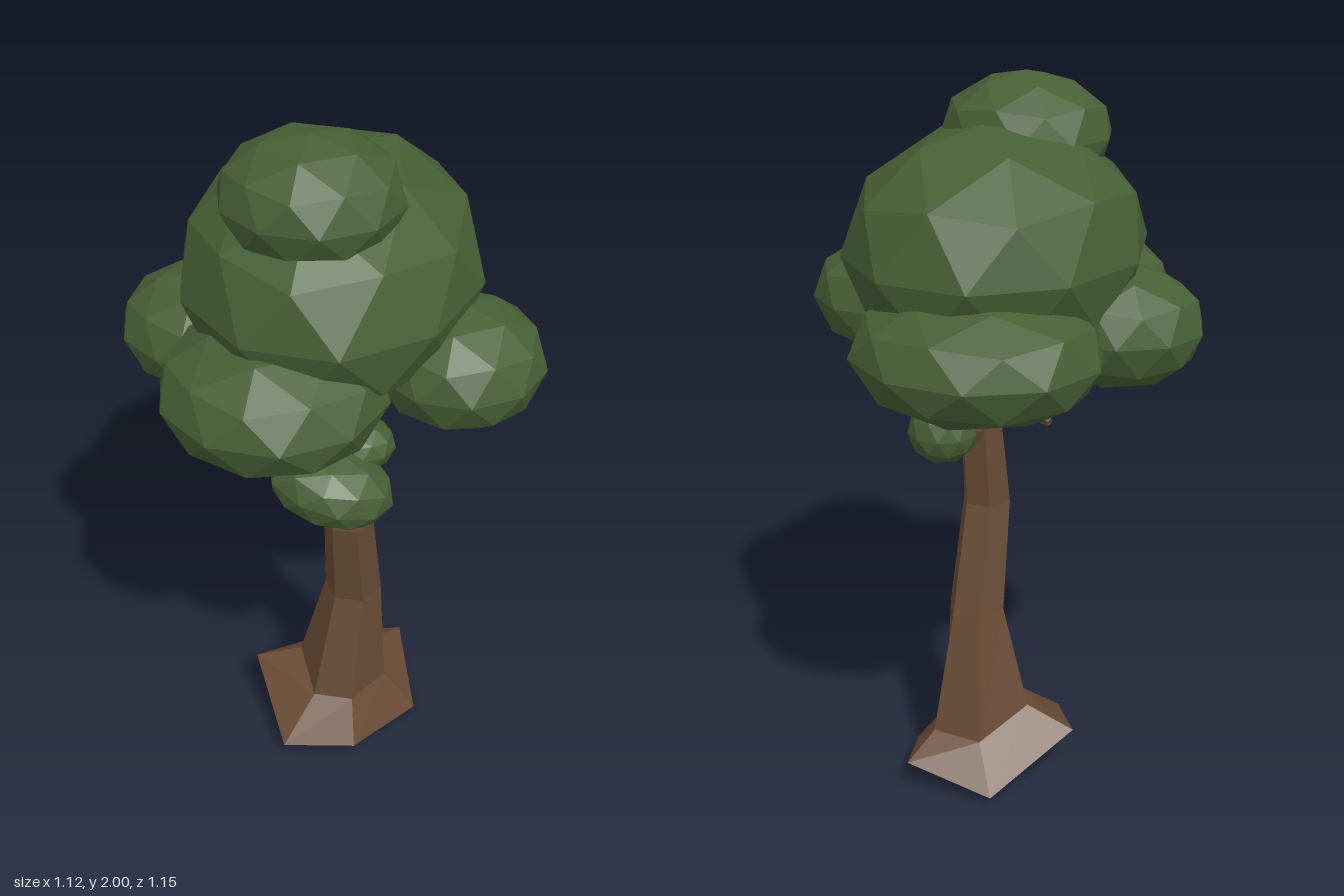
import * as THREE from 'three';

const mat = (name, color) => {
  const m = new THREE.MeshStandardMaterial({ color, flatShading: true });
  m.name = name;
  return m;
};

// Closed skin over rings of equal point count, capped at both ends
function loft(rings) {
  const n = rings[0].length, pos = [], idx = [];
  rings.forEach(r => r.forEach(p => pos.push(...p)));
  for (let i = 0; i < rings.length - 1; i++) {
    for (let k = 0; k < n; k++) {
      const a = i * n + k, b = i * n + (k + 1) % n;
      idx.push(a, a + n, b, b, a + n, b + n);
    }
  }
  const last = (rings.length - 1) * n;
  for (let k = 1; k < n - 1; k++) {
    idx.push(0, k, k + 1);
    idx.push(last, last + k + 1, last + k);
  }
  const g = new THREE.BufferGeometry();
  g.setAttribute('position', new THREE.Float32BufferAttribute(pos, 3));
  g.setIndex(idx);
  const flat = g.toNonIndexed();
  flat.computeVertexNormals();
  return flat;
}

export function createModel() {
  const tree = new THREE.Group();
  tree.name = 'tree';
  const bark = mat('bark brown', 0x694c35);
  const leaf = mat('leaf green', 0x466035);

  const add = (name, geometry, material) => {
    const m = new THREE.Mesh(geometry, material);
    m.name = name;
    tree.add(m);
    return m;
  };

  // Trunk: uneven root skirt, collar, then bent hexagonal rings
  const skirt = [
    [0.245, 0.0, -0.02], [0.1, 0.068, 0.235], [-0.11, 0.045, 0.25],
    [-0.25, 0.145, -0.01], [-0.09, 0.025, -0.255], [0.16, 0.09, -0.27],
  ];
  const collar = [
    [0.15, 0.13, -0.02], [0.075, 0.155, 0.13], [-0.04, 0.155, 0.13],
    [-0.11, 0.2, -0.015], [-0.02, 0.14, -0.165], [0.12, 0.15, -0.168],
  ];
  const hexRing = ([x, y, z, rx, rz]) => Array.from({ length: 6 }, (_, k) => {
    const a = k * Math.PI / 3;
    return [x + rx * Math.cos(a), y, z + rz * Math.sin(a)];
  });
  const trunkRings = [
    [0.052, 0.5, -0.008, 0.082, 0.086],
    [0.05, 0.81, 0.065, 0.07, 0.074],
    [0.052, 1.22, 0.005, 0.055, 0.053],
    [0.05, 1.45, 0.0, 0.035, 0.035],
  ].map(hexRing);
  add('trunk', loft([skirt, collar, ...trunkRings]), bark);

  // Branches: tapered five-sided limbs
  const up = new THREE.Vector3(0, 1, 0);
  const limb = (name, from, to, r0, r1) => {
    const a = new THREE.Vector3(...from), b = new THREE.Vector3(...to);
    const d = b.clone().sub(a);
    const m = add(name, new THREE.CylinderGeometry(r1, r0, d.length(), 5), bark);
    m.position.copy(a).add(b).multiplyScalar(0.5);
    m.quaternion.setFromUnitVectors(up, d.normalize());
  };
  limb('frontBranch', [0.05, 0.99, 0.05], [0.08, 1.1, 0.13], 0.028, 0.02);
  limb('frontBranchUpperTwig', [0.08, 1.1, 0.13], [0.1, 1.17, 0.18], 0.02, 0.014);
  limb('frontBranchLowerTwig', [0.06, 1.05, 0.1], [0.04, 1.07, 0.28], 0.018, 0.014);
  limb('backBranch', [0.05, 1.03, 0.0], [0.05, 1.09, -0.15], 0.028, 0.022);
  limb('backBranchUpperTwig', [0.05, 1.09, -0.15], [0.05, 1.25, -0.22], 0.022, 0.016);
  limb('backBranchLowerTwig', [0.05, 1.09, -0.14], [0.03, 1.16, -0.29], 0.018, 0.014);
  limb('leftBranch', [0.06, 1.215, 0.01], [0.305, 1.178, 0.01], 0.024, 0.012);
  limb('leftBranchTwig', [0.13, 1.2, 0.01], [0.18, 1.28, 0.0], 0.018, 0.014);
  limb('rightBranch', [0.04, 1.08, 0.0], [-0.07, 1.16, -0.03], 0.028, 0.02);
  limb('rightBranchUpperTwig', [-0.07, 1.16, -0.03], [-0.14, 1.25, -0.03], 0.02, 0.016);
  limb('rightBranchLowerTwig', [-0.06, 1.15, -0.03], [-0.18, 1.12, -0.055], 0.018, 0.012);

  // Foliage: squashed faceted clumps, one facet corner up [name, centre, radii, tilt]
  const poleUp = Math.atan(2 / (1 + Math.sqrt(5)));
  const clumps = [
    ['crownTop', [-0.03, 1.84, 0.145], [0.232, 0.16, 0.218], 0],
    ['crownMain', [-0.01, 1.575, -0.007], [0.392, 0.325, 0.46], 0],
    ['frontClump', [-0.1, 1.385, 0.29], [0.293, 0.182, 0.292], 0],
    ['backClump', [-0.07, 1.378, -0.29], [0.33, 0.175, 0.298], 0],
    ['leftClump', [0.332, 1.383, 0.08], [0.225, 0.163, 0.225], 0],
    ['rightClump', [-0.335, 1.385, 0.037], [0.225, 0.163, 0.213], 0],
    ['smallFrontClump', [0.042, 1.103, 0.29], [0.168, 0.1, 0.132], -0.25],
    ['smallUpperClump', [0.093, 1.165, 0.185], [0.1, 0.068, 0.088], 0],
    ['smallBackClump', [0.025, 1.155, -0.288], [0.092, 0.085, 0.092], 0],
  ];
  for (const [name, centre, radii, tilt] of clumps) {
    const g = new THREE.IcosahedronGeometry(1, 1);
    g.rotateZ(poleUp).rotateY(0.26).scale(...radii).rotateZ(tilt);
    g.computeVertexNormals();
    add(name, g, leaf).position.set(...centre);
  }
  return tree;
}
